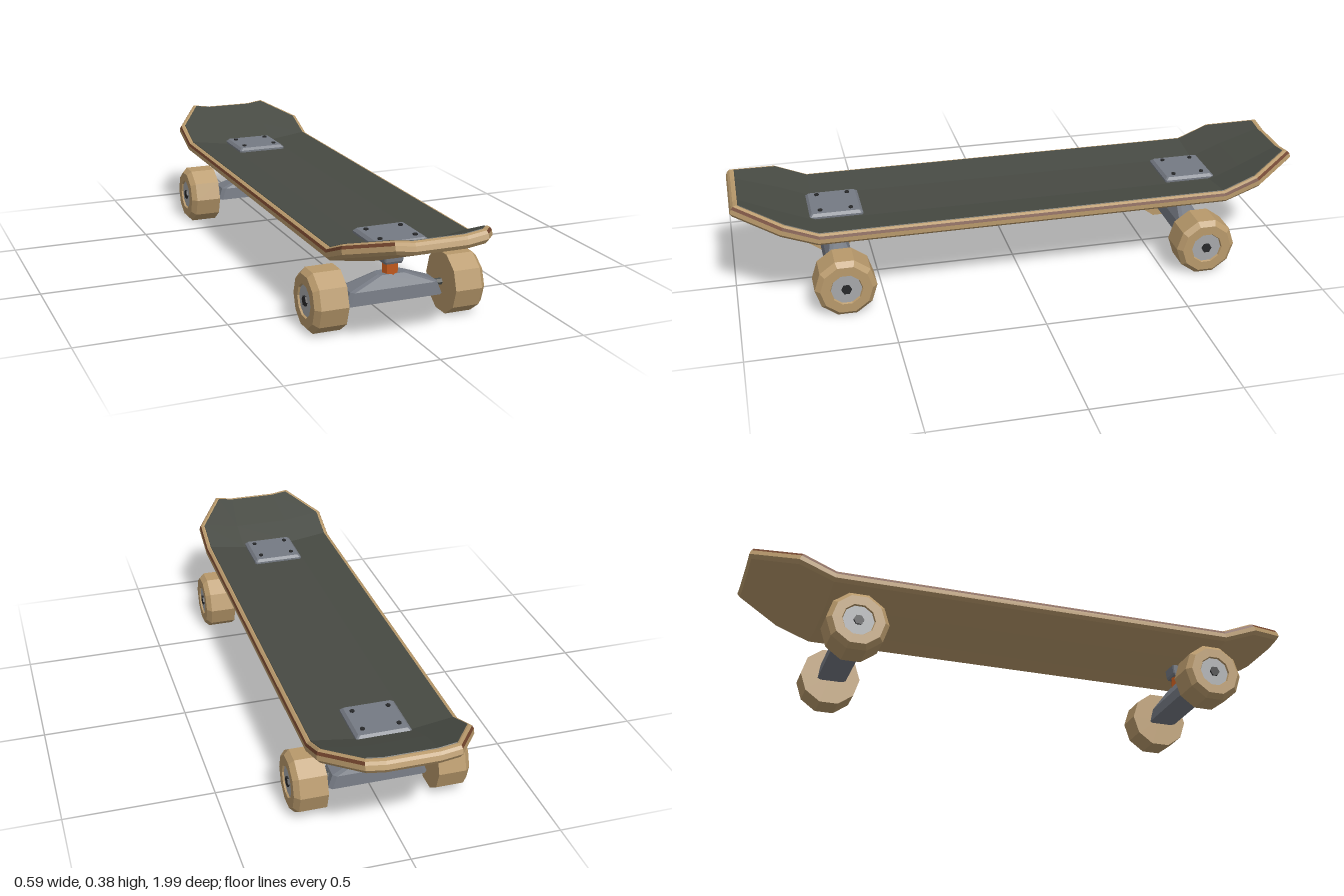
import * as THREE from 'three';
import { ConvexGeometry } from 'three/addons/geometries/ConvexGeometry.js';

const mat = (name, color, side = THREE.FrontSide) =>
  Object.assign(new THREE.MeshStandardMaterial({ color, flatShading: true, side }), { name });

export function createModel() {
  const wood = mat('maple', 0xb8996b);
  const ply = mat('red ply', 0x70432c);
  const grip = mat('grip grey', 0x474a43);
  const metal = mat('truck grey', 0x757a83);
  const hubMat = mat('hub silver', 0xa6a8aa);
  const axleMat = mat('axle steel', 0x4b4f4c);
  const dark = mat('bolt black', 0x27282a);
  const rubber = mat('bushing orange', 0xc45a1c);

  const root = new THREE.Group();
  root.name = 'skateboard';
  const add = (parent, name, geometry, material, x = 0, y = 0, z = 0) => {
    const mesh = new THREE.Mesh(geometry, material);
    mesh.name = name;
    mesh.position.set(x, y, z);
    parent.add(mesh);
    return mesh;
  };

  // Deck layer: 6 stations along z by 4 columns across, inset from the edge at height h
  const SLOPE = 0.38, BEND = 0.72;
  const layer = (inset, h) => {
    const half = [
      { z: BEND, w: 0.253 - inset, c: 0.1, lean: 0.5 },
      { z: 0.845 - inset * 0.4, w: 0.253 - inset, c: 0.1, lean: 1 },
      { z: 1 - inset, w: 0.152 - inset * 0.55, c: 0.085, lean: 1 },
    ];
    const row = (s, sign) => [-s.w, -s.c, s.c, s.w].map((x) => {
      const concave = Math.max(0, Math.abs(x) - s.c) * 0.145;
      const kick = SLOPE * Math.max(0, s.z - BEND);
      return [x, 0.233 + h + concave + kick, sign * (s.z - SLOPE * h * s.lean)];
    });
    return [2, 1, 0].map((i) => row(half[i], -1)).concat([0, 1, 2].map((i) => row(half[i], 1)));
  };
  const fromQuads = (quads) => {
    const pos = [];
    for (const [a, b, c, d] of quads) pos.push(...a, ...b, ...c, ...a, ...c, ...d);
    const g = new THREE.BufferGeometry();
    g.setAttribute('position', new THREE.Float32BufferAttribute(pos, 3));
    g.computeVertexNormals();
    return g;
  };
  const sheet = (g, up) => {
    const quads = [];
    for (let s = 0; s < 5; s++) for (let c = 0; c < 3; c++) {
      const q = [g[s][c], g[s + 1][c], g[s + 1][c + 1], g[s][c + 1]];
      quads.push(up ? q : q.reverse());
    }
    return quads;
  };
  const outline = (g) => [
    ...g[5], ...[4, 3, 2, 1, 0].map((s) => g[s][3]),
    ...[2, 1, 0].map((c) => g[0][c]), ...[1, 2, 3, 4].map((s) => g[s][0]),
  ];
  const skirt = (low, high) => {
    const a = outline(low), b = outline(high);
    return a.map((p, i) => {
      const j = (i + 1) % a.length;
      return [p, a[j], b[j], b[i]];
    });
  };

  const levels = [[0.012, 0], [0, 0.009], [0, 0.024], [0.004, 0.034], [0.012, 0.04]]
    .map(([inset, h]) => layer(inset, h));
  const isTip = (i) => i < 3 || (i >= 8 && i < 11);
  const band = skirt(levels[2], levels[3]);
  const deck = new THREE.Group();
  deck.name = 'deck';
  root.add(deck);
  add(deck, 'deckBody', fromQuads([
    ...sheet(levels[0], false), ...skirt(levels[0], levels[1]), ...skirt(levels[1], levels[2]),
    ...band.filter((q, i) => isTip(i)), ...skirt(levels[3], levels[4]), ...sheet(levels[4], true),
  ]), wood);
  add(deck, 'plyStripe', fromQuads(band.filter((q, i) => !isTip(i))), ply);
  const gripLow = layer(0.017, 0.04), gripHigh = layer(0.018, 0.042);
  add(deck, 'gripTape', fromQuads([...skirt(gripLow, gripHigh), ...sheet(gripHigh, true)]), grip);

  // Convex block from rings [y, halfX, halfZ] with cut corners
  const block = (rings, cut) => new ConvexGeometry(rings.flatMap(([y, x, z]) =>
    [-1, 1].flatMap((sx) => [-1, 1].flatMap((sz) => [
      new THREE.Vector3(sx * x, y, sz * (z - cut)),
      new THREE.Vector3(sx * (x - cut), y, sz * z),
    ]))));

  // Wheel pointing along +x
  const wheelProfile = [[0, 0.185], [0.106, 0.185], [0.106, 0.278], [0.089, 0.295],
    [0.056, 0.295], [0.052, 0.287], [0, 0.287]].map(([r, x]) => new THREE.Vector2(r, x));
  const alongX = (g) => g.rotateZ(-Math.PI / 2);
  const wheelGeo = alongX(new THREE.LatheGeometry(wheelProfile, 10));
  const hubGeo = alongX(new THREE.CylinderGeometry(0.053, 0.053, 0.006, 10));
  const nutGeo = alongX(new THREE.CylinderGeometry(0.018, 0.018, 0.012, 6));
  const axleGeo = alongX(new THREE.CylinderGeometry(0.0115, 0.0115, 0.5, 6));
  const boltGeo = new THREE.CylinderGeometry(0.008, 0.008, 0.008, 6);
  const plateGeo = block([[0.268, 0.092, 0.092], [0.282, 0.092, 0.092], [0.291, 0.083, 0.083]], 0.005);
  const hangerGeo = block([[0.077, 0.168, 0.05], [0.12, 0.152, 0.045], [0.16, 0.05, 0.025]], 0.012);
  const baseGeo = block([[0.195, 0.03, 0.03], [0.203, 0.032, 0.034], [0.236, 0.036, 0.036]], 0.004);

  // Two trucks, the rear one turned around
  for (const end of [1, -1]) {
    const truck = new THREE.Group();
    truck.name = end > 0 ? 'frontTruck' : 'rearTruck';
    truck.position.z = end * 0.64;
    if (end < 0) truck.rotation.y = Math.PI;
    root.add(truck);
    add(truck, 'topPlate', plateGeo, metal);
    add(truck, 'basePlate', baseGeo, metal);
    add(truck, 'bushing', new THREE.CylinderGeometry(0.027, 0.027, 0.044, 8), rubber, 0, 0.177, 0);
    add(truck, 'hanger', hangerGeo, metal);
    add(truck, 'axle', axleGeo, axleMat, 0, 0.102, 0);
    for (const sx of [-1, 1]) {
      for (const sz of [-1, 1]) add(truck, 'bolt', boltGeo, dark, sx * 0.061, 0.292, sz * 0.053);
      const wheel = new THREE.Group();
      wheel.name = 'wheel';
      wheel.position.y = 0.101;
      if (sx < 0) wheel.rotation.y = Math.PI;
      truck.add(wheel);
      add(wheel, 'tyre', wheelGeo, wood);
      add(wheel, 'hub', hubGeo, hubMat, 0.286);
      add(wheel, 'axleNut', nutGeo, dark, 0.289);
    }
  }
  return root;
}
